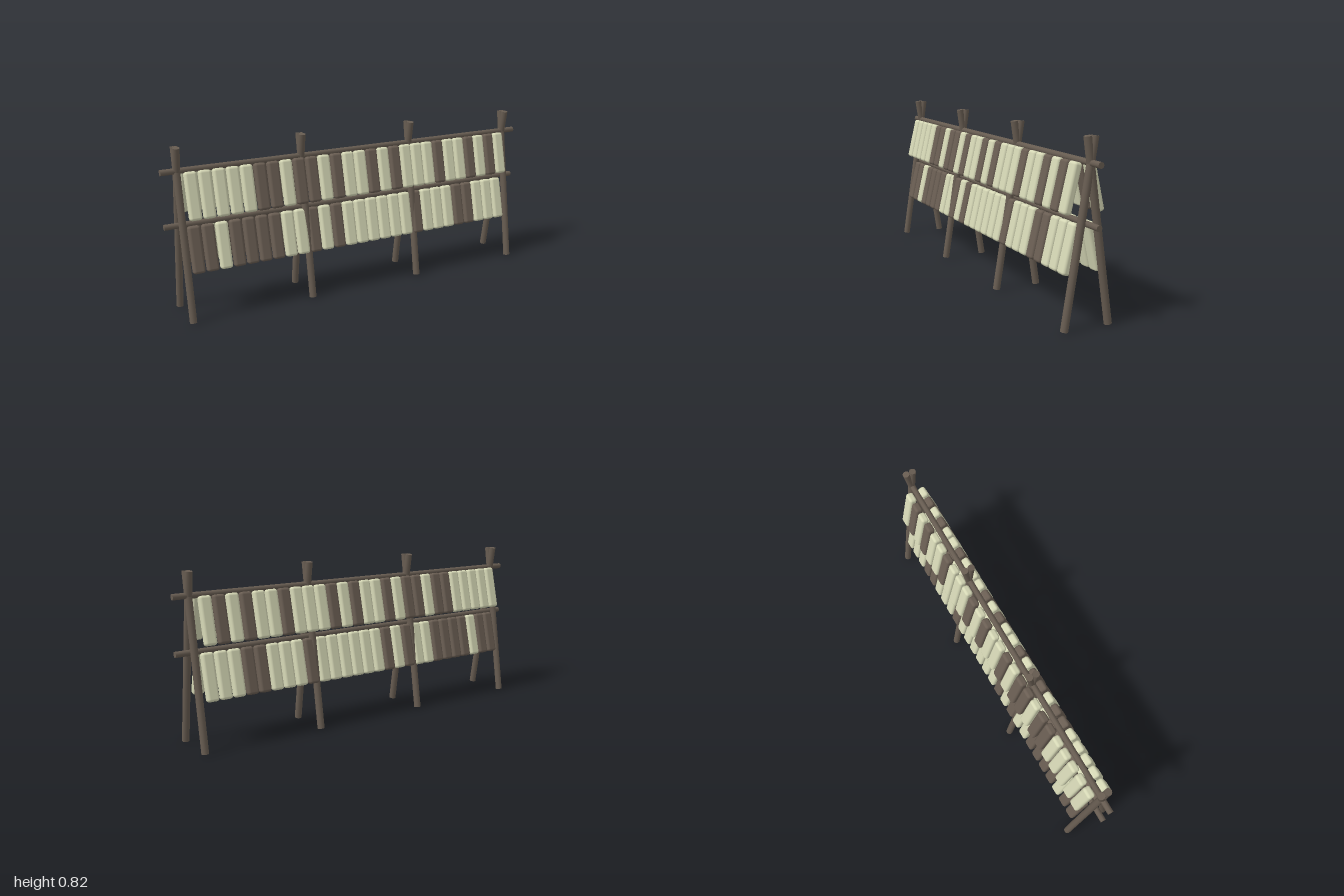
import * as THREE from 'three';
import { RoundedBoxGeometry } from 'three/addons/geometries/RoundedBoxGeometry.js';

export function createModel() {
  const model = new THREE.Group();
  model.name = 'dryingRack';

  const wood = new THREE.MeshStandardMaterial({ name: 'wood', color: 0x675c51 });
  const darkSlat = new THREE.MeshStandardMaterial({ name: 'darkSlat', color: 0x6a5e53 });
  const paleSlat = new THREE.MeshStandardMaterial({ name: 'paleSlat', color: 0xd5d7b5 });

  function add(parent, name, geometry, material) {
    const mesh = new THREE.Mesh(geometry, material);
    mesh.name = name;
    parent.add(mesh);
    return mesh;
  }

  // Crossed pairs of legs
  const run = 0.128, rise = 0.815;
  const legGeometry = new THREE.CylinderGeometry(0.0175, 0.0175, Math.hypot(run, rise), 12);
  for (const x of [-0.924, -0.308, 0.308, 0.924]) {
    const trestle = new THREE.Group();
    trestle.name = 'trestle';
    trestle.position.x = x;
    model.add(trestle);
    for (const side of [1, -1]) {
      const leg = add(trestle, side > 0 ? 'frontLeg' : 'backLeg', legGeometry, wood);
      leg.position.set(0, 0.411, side * 0.046);
      leg.rotation.x = -side * Math.atan2(run, rise);
    }
  }

  // Two long rails, each with a row of leaning slats on both sides.
  // D is a dark slat and L a pale one, from right to left.
  const rows = [
    { name: 'upper', y: 0.708, pattern: 'LLLLLDDLDDLDLLDLDLLLDLLDLDL' },
    { name: 'lower', y: 0.45, pattern: 'DDLDDDDLLDLDLLLLLLDLLLDDLLL' },
  ];
  const railGeometry = new THREE.CylinderGeometry(0.0145, 0.0145, 2, 8);
  const slatGeometry = new RoundedBoxGeometry(0.058, 0.224, 0.039, 3, 0.013);

  for (const { name, y, pattern } of rows) {
    const rail = add(model, name + 'Rail', railGeometry, wood);
    rail.position.y = y;
    rail.rotation.z = Math.PI / 2;

    for (const side of [1, -1]) {
      const row = new THREE.Group();
      row.name = name + (side > 0 ? 'FrontSlats' : 'BackSlats');
      model.add(row);
      [...pattern].forEach((tone, i) => {
        const slat = add(row, 'slat', slatGeometry, tone === 'D' ? darkSlat : paleSlat);
        slat.position.set(-0.873 + i * 0.0668, y - 0.11, side * 0.0575);
        slat.rotation.x = -side * 0.235;
      });
    }
  }
  return model;
}
